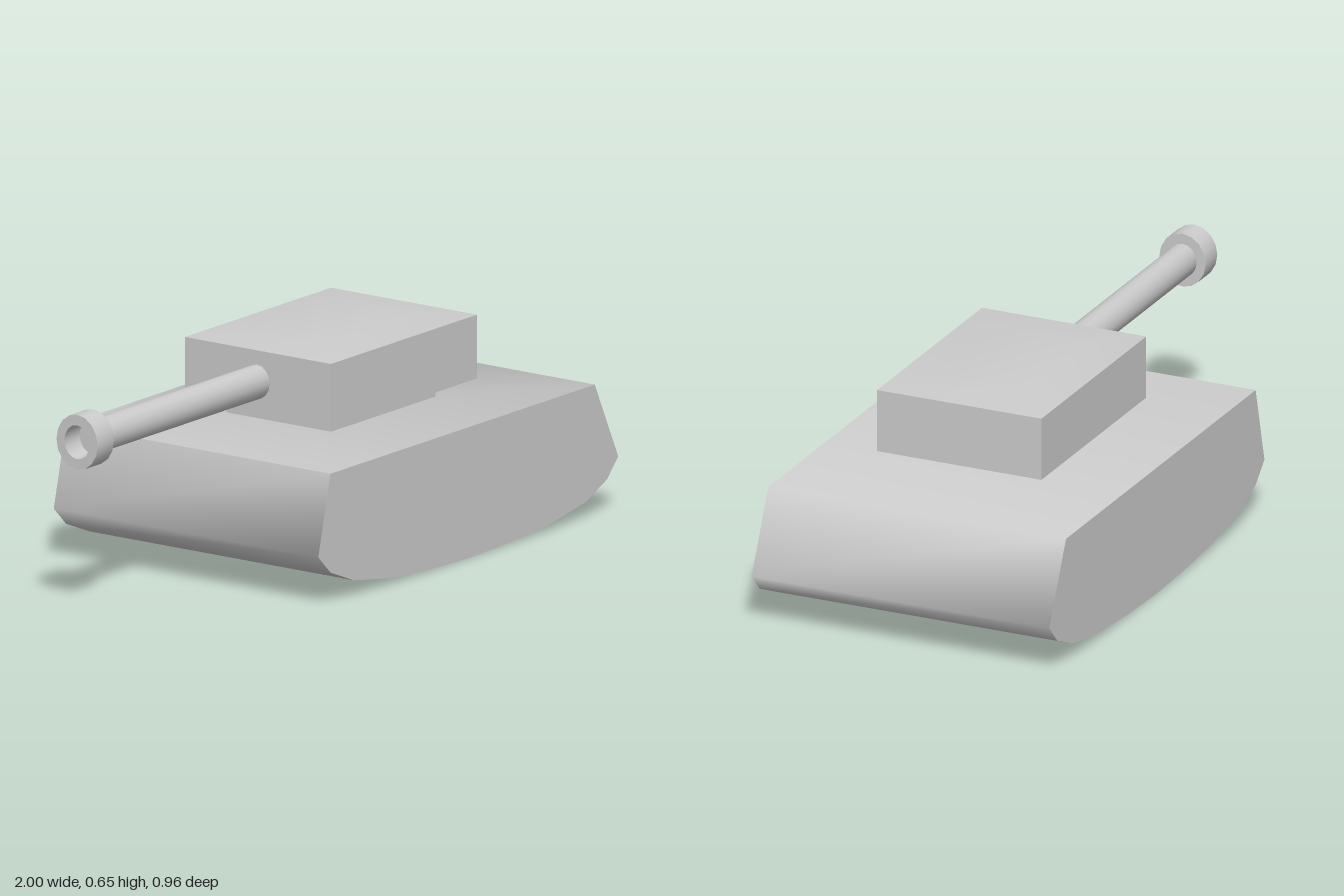
import * as THREE from 'three';
import { toCreasedNormals } from 'three/addons/utils/BufferGeometryUtils.js';

const material = new THREE.MeshStandardMaterial({ color: 0xcccccc });

function part(name, geometry, crease) {
  const mesh = new THREE.Mesh(toCreasedNormals(geometry, crease), material);
  mesh.name = name;
  return mesh;
}

// Closed solid from stacked rectangles given as [y, halfX, halfZ].
function stackedBox(levels) {
  const corners = [[1, 1], [1, -1], [-1, -1], [-1, 1]];
  const positions = [];
  const index = [0, 2, 1, 0, 3, 2];
  levels.forEach(([y, hx, hz], k) => {
    corners.forEach(([sx, sz], i) => {
      positions.push(sx * hx, y, sz * hz);
      if (k === levels.length - 1) return;
      const a = k * 4 + i;
      const b = k * 4 + (i + 1) % 4;
      index.push(a, b, b + 4, a, b + 4, a + 4);
    });
  });
  const t = (levels.length - 1) * 4;
  index.push(t, t + 1, t + 2, t, t + 2, t + 3);
  const geometry = new THREE.BufferGeometry();
  geometry.setAttribute('position', new THREE.Float32BufferAttribute(positions, 3));
  geometry.setIndex(index);
  geometry.computeVertexNormals();
  return geometry;
}

export function createModel() {
  const model = new THREE.Group();
  model.name = 'tank';

  // Hull: side profile with a curved belly, extruded across the width
  const profile = [
    [-0.41, 0.395], [-0.47, 0.155], [-0.41, 0.097], [-0.295, 0.05], [-0.11, 0.018],
    [0.09, 0.005], [0.26, 0], [0.45, 0.005], [0.65, 0.018], [0.84, 0.05],
    [0.945, 0.097], [1, 0.155], [0.885, 0.395],
  ].map(([x, y]) => new THREE.Vector2(x, y));
  const hull = new THREE.ExtrudeGeometry(new THREE.Shape(profile), { depth: 0.96, bevelEnabled: false });
  hull.translate(0, 0, -0.48);
  model.add(part('hull', hull, 1.25));

  // Turret neck, then the turret with shallow sloped underside and roof
  const neck = part('turretNeck', stackedBox([[0.39, 0.255, 0.19], [0.43, 0.255, 0.19]]), 0.6);
  const turret = part('turret', stackedBox([
    [0.425, 0.255, 0.19], [0.44, 0.358, 0.265], [0.632, 0.358, 0.265], [0.65, 0.2, 0.14],
  ]), 0.6);
  neck.position.x = turret.position.x = 0.24;
  model.add(neck, turret);

  // Gun barrel with a hollow muzzle collar, pointing to -x
  const gunProfile = [
    [0, 0.08], [0.051, 0.08], [0.051, 0.92], [0.083, 0.92], [0.083, 1], [0.051, 1], [0.051, 0.925], [0, 0.925],
  ].map(([r, y]) => new THREE.Vector2(r, y));
  const gun = new THREE.LatheGeometry(gunProfile, 16);
  gun.rotateZ(Math.PI / 2);
  gun.scale(1, 1, 0.9);
  gun.translate(0, 0.538, -0.003);
  model.add(part('gunBarrel', gun, 0.8));

  return model;
}
